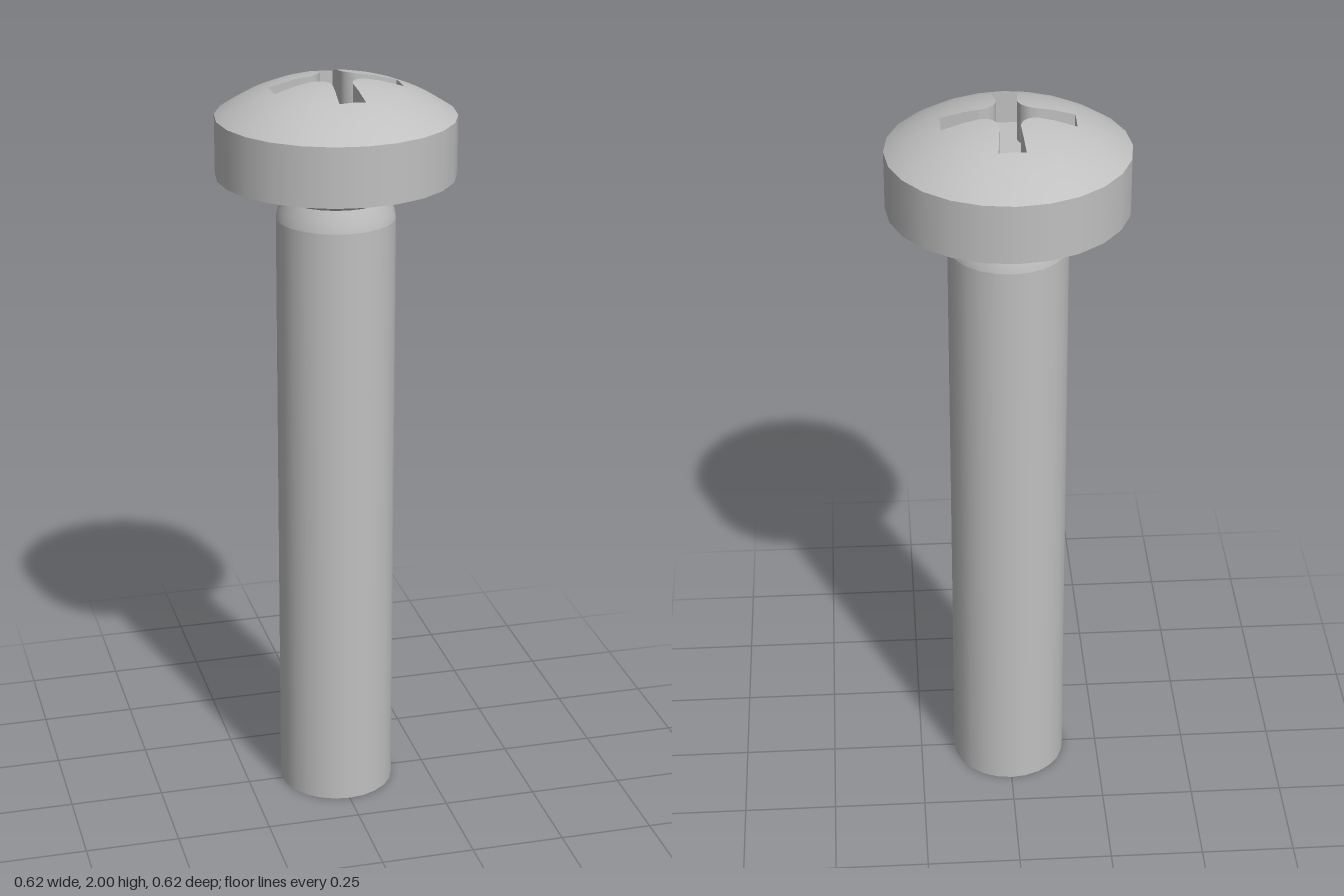
import * as THREE from 'three';
import { toCreasedNormals } from 'three/addons/utils/BufferGeometryUtils.js';

const SIDES = 24;
const HEAD_R = 0.31, RIM_Y = 1.9, TOP_Y = 2, FLOOR_Y = 1.89;
const DOME_R = (HEAD_R ** 2 + (TOP_Y - RIM_Y) ** 2) / (2 * (TOP_Y - RIM_Y));
const CENTRE_Y = TOP_Y - DOME_R;
const QUARTER = Math.PI / 2;

// One quarter of the cross outline: half arm end, flared side, fillet, side, half arm end
function crossQuarter() {
  const pts = [[0, 0.168], [0.034, 0.168]];
  const c = 0.0725, r = 0.046, flare = 0.085;
  for (let i = 0; i <= 10; i++) {
    const a = Math.PI - flare + (QUARTER + 2 * flare) * i / 10;
    pts.push([c + r * Math.cos(a), c + r * Math.sin(a)]);
  }
  pts.push([0.168, 0.034], [0.168, 0]);
  return pts;
}
const quarter = crossQuarter();
const angleOf = ([x, z]) => Math.atan2(x, z);

// Distance from the axis to the cross outline at an angle
function crossRadius(angle) {
  const a = angle % QUARTER;
  let i = 0;
  while (i < quarter.length - 2 && angleOf(quarter[i + 1]) < a) i++;
  const [px, pz] = quarter[i], [qx, qz] = quarter[i + 1];
  const ex = qx - px, ez = qz - pz;
  return (px * ez - pz * ex) / (Math.sin(a) * ez - Math.cos(a) * ex);
}

// Distance from the axis to the many-sided head rim at an angle
function rimRadius(angle) {
  const step = 2 * Math.PI / SIDES;
  return HEAD_R * Math.cos(step / 2) / Math.cos((angle % step) - step / 2);
}

// Angles that hit every outline corner and every rim corner
function sharedAngles() {
  const set = new Set();
  const add = (a) => set.add(Math.round(a * 1e5) / 1e5);
  for (let i = 0; i < SIDES; i++) add(i * 2 * Math.PI / SIDES);
  for (let k = 0; k < 4; k++) {
    for (const p of quarter.slice(0, -1)) add(angleOf(p) + k * QUARTER);
  }
  return [...set].sort((a, b) => a - b);
}

// Skin closed rings of points, first ring lowest for an outward face
function loft(rings) {
  const n = rings[0].length, index = [];
  for (let j = 0; j < rings.length - 1; j++) {
    for (let i = 0; i < n; i++) {
      const a = j * n + i, b = j * n + (i + 1) % n;
      index.push(a, b, a + n, b, b + n, a + n);
    }
  }
  const g = new THREE.BufferGeometry().setFromPoints(rings.flat());
  g.setIndex(index);
  return g;
}

export function createModel() {
  const group = new THREE.Group();
  const steel = new THREE.MeshStandardMaterial({ color: 0xc0c0c0 });
  steel.name = 'steel grey';

  const add = (name, geometry) => {
    const mesh = new THREE.Mesh(geometry, steel);
    mesh.name = name;
    group.add(mesh);
  };
  const turned = (name, ...profile) => add(name,
    new THREE.LatheGeometry(profile.map(([r, y]) => new THREE.Vector2(r, y)), SIDES));

  // Shank, neck and head sides
  turned('shankEnd', [0, 0], [0.155, 0]);
  turned('shank', [0.155, 0], [0.155, 1.63]);
  turned('shankShoulder', [0.155, 1.63], [0.15, 1.655], [0.137, 1.687]);
  turned('neck', [0.137, 1.687], [0.19, 1.745]);
  turned('headUnderside', [0.19, 1.745], [HEAD_R, 1.745]);
  turned('headSide', [HEAD_R, 1.745], [HEAD_R, RIM_Y]);

  // Domed top, from the rim in to the cross-shaped opening
  const angles = sharedAngles();
  const rings = [];
  for (let k = 0; k <= 8; k++) {
    rings.push(angles.map((a) => {
      const rim = rimRadius(a);
      const r = THREE.MathUtils.lerp(rim, crossRadius(a), k / 8);
      const round = r * HEAD_R / rim;
      const y = CENTRE_Y + Math.sqrt(DOME_R ** 2 - round ** 2);
      return new THREE.Vector3(r * Math.sin(a), y, r * Math.cos(a));
    }));
  }
  const dome = loft(rings);
  const normals = rings.flat().flatMap((p) =>
    new THREE.Vector3(p.x, p.y - CENTRE_Y, p.z).normalize().toArray());
  dome.setAttribute('normal', new THREE.Float32BufferAttribute(normals, 3));
  add('headDome', dome);

  // Cross recess walls and floor
  const lip = rings[rings.length - 1];
  const base = lip.map((p) => new THREE.Vector3(p.x, FLOOR_Y, p.z));
  add('recessWalls', toCreasedNormals(loft([lip, base]), 0.6));
  const floor = new THREE.ShapeGeometry(
    new THREE.Shape(base.map((p) => new THREE.Vector2(p.x, -p.z))));
  floor.rotateX(-QUARTER).translate(0, FLOOR_Y, 0);
  add('recessFloor', floor);

  return group;
}
